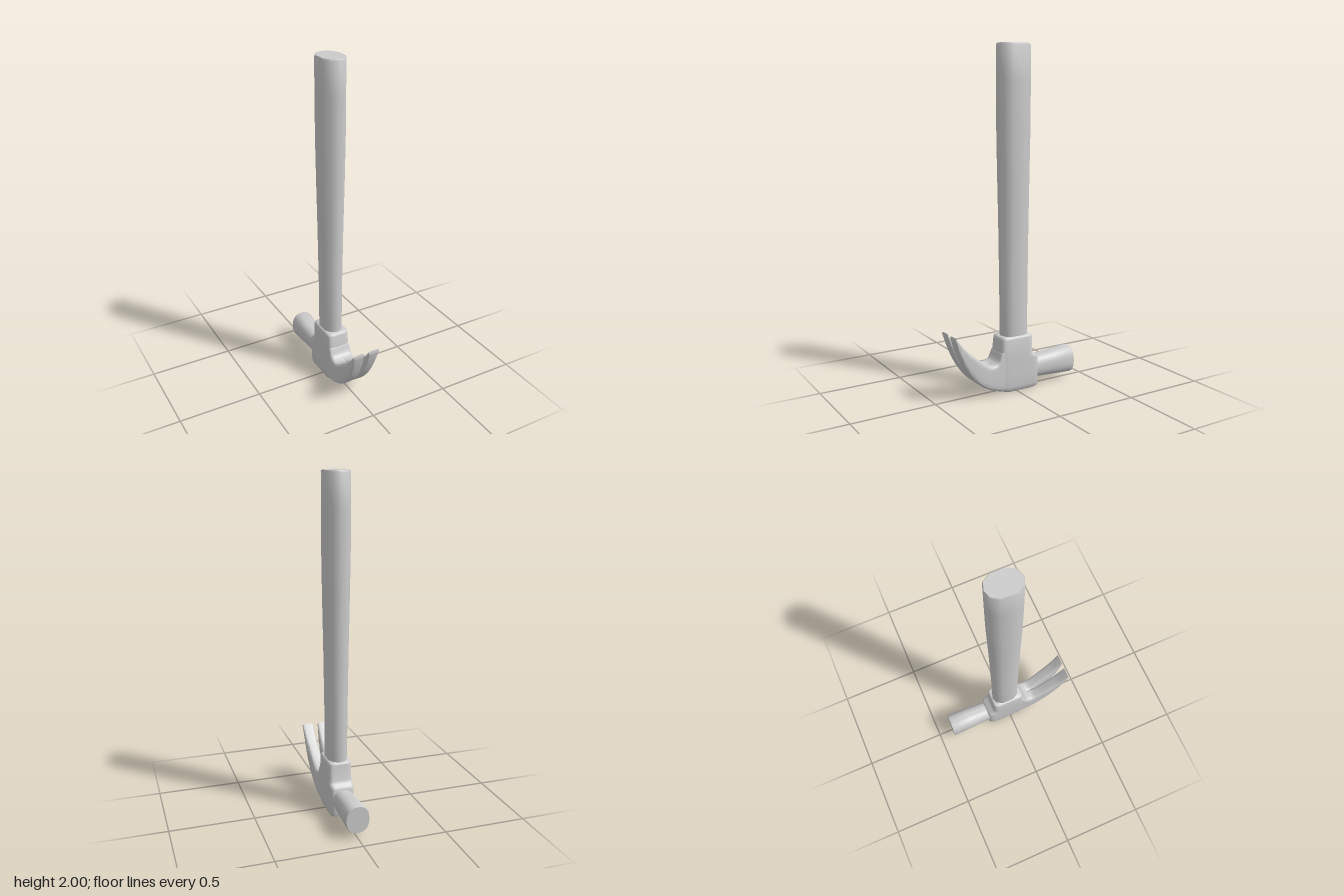
import * as THREE from 'three';
import { toCreasedNormals } from 'three/addons/utils/BufferGeometryUtils.js';

const material = new THREE.MeshStandardMaterial({ color: 0xcccccc });

// Skins a list of equal-length point rings and closes both ends
function loft(rings, crease = 0.8) {
  const n = rings[0].length, pos = [], idx = [];
  rings.forEach(r => r.forEach(p => pos.push(...p)));
  for (let i = 0; i < rings.length - 1; i++) {
    for (let j = 0; j < n; j++) {
      const a = i * n + j, b = i * n + (j + 1) % n;
      idx.push(a, b, b + n, a, b + n, a + n);
    }
  }
  const cap = (r, base, flip) => {
    const c = pos.length / 3;
    pos.push(...[0, 1, 2].map(k => r.reduce((s, p) => s + p[k], 0) / n));
    for (let j = 0; j < n; j++) {
      const a = base + j, b = base + (j + 1) % n;
      idx.push(c, flip ? b : a, flip ? a : b);
    }
  };
  cap(rings[0], 0, true);
  cap(rings[rings.length - 1], (rings.length - 1) * n, false);

  // Turn the faces outward if the enclosed volume is negative
  const v = i => new THREE.Vector3().fromArray(pos, idx[i] * 3);
  let volume = 0;
  for (let i = 0; i < idx.length; i += 3) volume += v(i).dot(v(i + 1).cross(v(i + 2)));
  if (volume < 0) idx.reverse();

  const g = new THREE.BufferGeometry();
  g.setAttribute('position', new THREE.Float32BufferAttribute(pos, 3));
  g.setIndex(idx);
  return toCreasedNormals(g, crease);
}

// Unit superellipse: power 2 is round, higher powers are squarer
function oval(power, count = 32) {
  return Array.from({ length: count }, (_, i) => {
    const a = ((i + 0.5) / count) * Math.PI * 2, c = Math.cos(a), s = Math.sin(a);
    return [Math.sign(c) * Math.abs(c) ** (2 / power), Math.sign(s) * Math.abs(s) ** (2 / power)];
  });
}

// Horizontal ring at height y, half width hx, from z0 to z1
const flatRing = (shape, y, hx, z0, z1) =>
  shape.map(([u, w]) => [u * hx, y, (z0 + z1) / 2 + (w * (z1 - z0)) / 2]);

export function createModel() {
  const model = new THREE.Group();
  const add = (name, geometry) => {
    const mesh = new THREE.Mesh(geometry, material);
    mesh.name = name;
    model.add(mesh);
  };

  // Handle: ten-sided oval shaft, thicker at the grip
  const half = [[0, -1], [0.62, -0.85], [1, -0.42], [1, 0.42], [0.62, 0.85], [0, 1]];
  const shaft = [...half, ...half.slice(1, -1).reverse().map(([x, z]) => [-x, z])];
  add('handle', loft([
    [0.2, 0.058, -0.1, 0.072], [0.6, 0.059, -0.101, 0.073], [1, 0.064, -0.106, 0.078],
    [1.3, 0.069, -0.111, 0.084], [1.55, 0.072, -0.116, 0.088], [1.8, 0.072, -0.117, 0.089],
    [1.99, 0.072, -0.117, 0.089], [2, 0.068, -0.112, 0.084],
  ].map(r => flatRing(shaft, ...r))));

  // Head block with the handle socket above it
  const block = oval(7, 40);
  add('headBlock', loft([
    [0, 0.06, -0.13, 0.07], [0.008, 0.068, -0.147, 0.09], [0.03, 0.072, -0.154, 0.1],
    [0.1, 0.073, -0.154, 0.105], [0.178, 0.073, -0.153, 0.105], [0.193, 0.073, -0.145, 0.104],
    [0.203, 0.073, -0.122, 0.103], [0.218, 0.073, -0.113, 0.102], [0.315, 0.07, -0.111, 0.092],
    [0.326, 0.067, -0.108, 0.088], [0.33, 0.061, -0.101, 0.08],
  ].map(r => flatRing(block, ...r))));

  // Striking poll flaring toward the back: z, half width, bottom, top
  const round = oval(2.4);
  add('poll', loft([
    [-0.12, 0.059, 0.042, 0.175], [-0.16, 0.06, 0.042, 0.176], [-0.28, 0.065, 0.035, 0.186],
    [-0.4, 0.07, 0.029, 0.196], [-0.41, 0.067, 0.033, 0.192],
  ].map(([z, hx, y0, y1]) =>
    round.map(([u, w]) => [u * hx, (y0 + y1) / 2 + (w * (y1 - y0)) / 2, z]))));

  // Claw stations: lower z and y, upper z and y, inner x, outer x
  const stations = [
    [0.06, 0.008, 0.06, 0.29, -0.03, 0.07], [0.1, 0.012, 0.098, 0.245, -0.03, 0.071],
    [0.14, 0.022, 0.125, 0.19, -0.03, 0.072], [0.2, 0.048, 0.165, 0.177, -0.009, 0.073],
    [0.27, 0.1, 0.205, 0.195, 0.002, 0.075], [0.34, 0.19, 0.27, 0.245, 0.007, 0.079],
    [0.39, 0.3, 0.345, 0.312, 0.011, 0.082], [0.411, 0.37, 0.407, 0.388, 0.015, 0.085],
  ];
  const curve = k => new THREE.CatmullRomCurve3(
    stations.map(s => new THREE.Vector3(s[k[0]], s[k[1]], 0)));
  const [lower, upper, sides] = [[0, 1], [2, 3], [4, 5]].map(curve);
  for (const [name, sign] of [['leftClaw', 1], ['rightClaw', -1]]) {
    const rings = Array.from({ length: 29 }, (_, i) => {
      const t = i / 28, lo = lower.getPoint(t), up = upper.getPoint(t), x = sides.getPoint(t);
      return oval(7 - 3 * t, 28).map(([u, w]) => {
        const p = lo.clone().lerp(up, (w + 1) / 2);
        return [sign * THREE.MathUtils.lerp(x.x, x.y, (u + 1) / 2), p.y, p.x];
      });
    });
    add(name, loft(rings));
  }
  return model;
}
